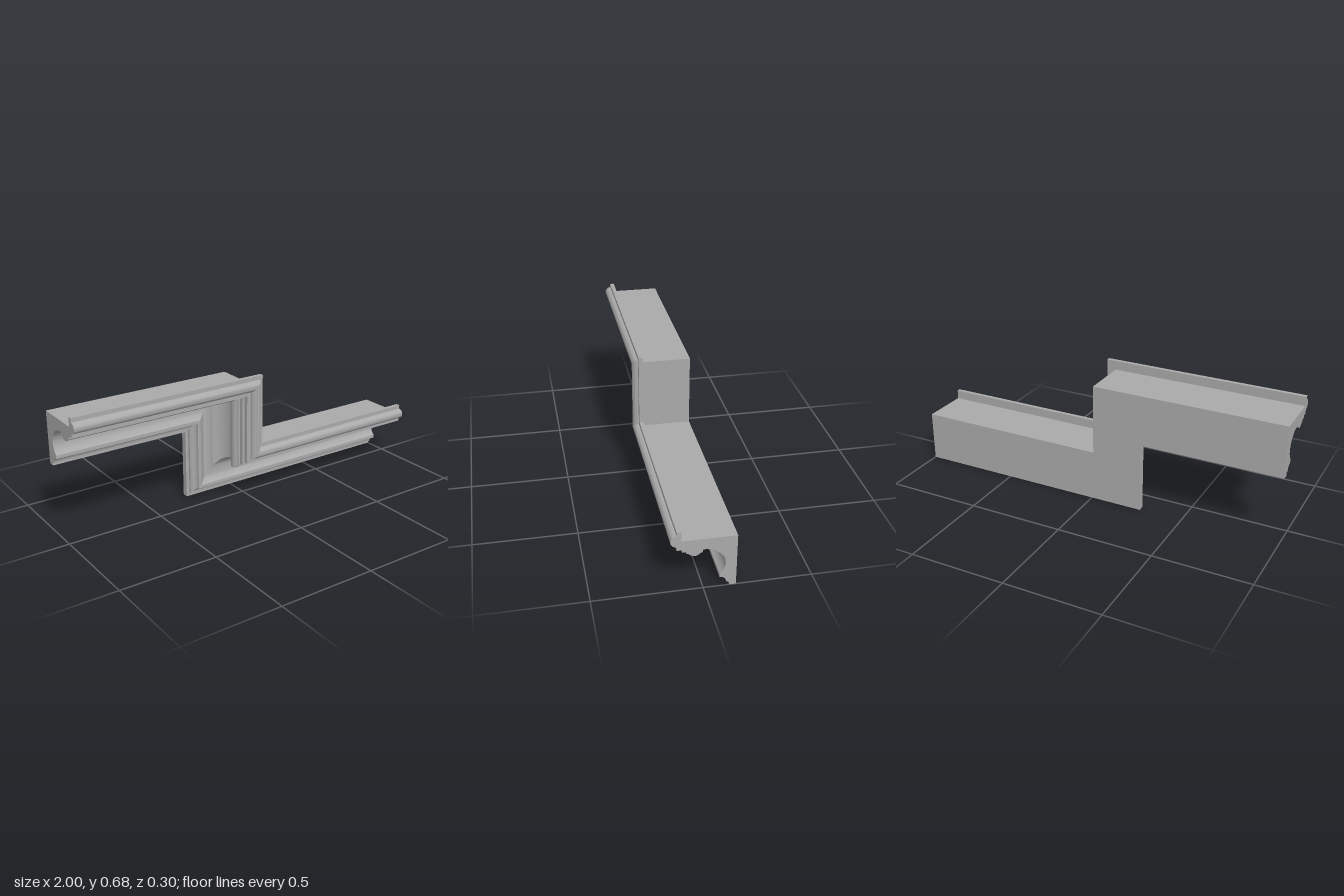
import * as THREE from 'three';
import { toCreasedNormals } from 'three/addons/utils/BufferGeometryUtils.js';

const STEP = 0.364;    // rise between the two level runs
const CORNER = -0.275; // x of the lower outer corner

// Points along an elliptical arc, angles in degrees
function arc(cz, ch, rz, rh, from, to, n) {
  return Array.from({ length: n + 1 }, (_, i) => {
    const a = THREE.MathUtils.degToRad(from + (to - from) * i / n);
    return [cz + rz * Math.cos(a), ch + rh * Math.sin(a)];
  });
}

// Cross-section as [z, height], anticlockwise from the back bottom edge
const profile = [
  [-0.149, 0], [-0.118, 0], [-0.118, 0.017],
  ...arc(-0.073, 0.017, 0.032, 0.031, 180, 90, 10),      // small lower cove
  ...arc(0.004, 0.123, 0.103, 0.087, 221.6, 90, 28),     // large cove
  [0.004, 0.196], [0.013, 0.194],
  ...arc(0.041, 0.196, 0.024, 0.016, 205, 335, 14),      // hanging bead
  [0.069, 0.194], [0.078, 0.196],
  [0.078, 0.205], [0.097, 0.205], [0.097, 0.218], [0.121, 0.218],
  ...arc(0.121, 0.2645, 0.028, 0.027, -90, 90, 20),      // front half-round
  [0.121, 0.312], [0.1, 0.312], [0.1, 0.265], [-0.149, 0.265],
];

// Mitred stations along the stepped path for one profile point
const stations = ([z, h]) => [
  [-1, STEP + h, z], [CORNER + h, STEP + h, z], [CORNER + h, h, z], [1, h, z],
];

function sweepGeometry() {
  const rows = profile.map(stations);
  const positions = [];
  const tri = (a, b, c) => positions.push(...a, ...b, ...c);

  // Moulded faces
  rows.forEach((row, i) => {
    const next = rows[(i + 1) % rows.length];
    for (let j = 0; j < 3; j++) {
      tri(row[j], row[j + 1], next[j + 1]);
      tri(row[j], next[j + 1], next[j]);
    }
  });

  // Flat cut ends
  const outline = profile.map(([z, h]) => new THREE.Vector2(z, h));
  for (const [a, b, c] of THREE.ShapeUtils.triangulateShape(outline, [])) {
    tri(rows[a][0], rows[b][0], rows[c][0]);
    tri(rows[a][3], rows[c][3], rows[b][3]);
  }

  const geometry = new THREE.BufferGeometry();
  geometry.setAttribute('position', new THREE.Float32BufferAttribute(positions, 3));
  return toCreasedNormals(geometry, 0.5);
}

export function createModel() {
  const group = new THREE.Group();
  group.name = 'steppedMoulding';
  const grey = new THREE.MeshStandardMaterial({ color: 0xaaaaaa });
  grey.name = 'grey';
  const moulding = new THREE.Mesh(sweepGeometry(), grey);
  moulding.name = 'moulding';
  group.add(moulding);
  return group;
}
